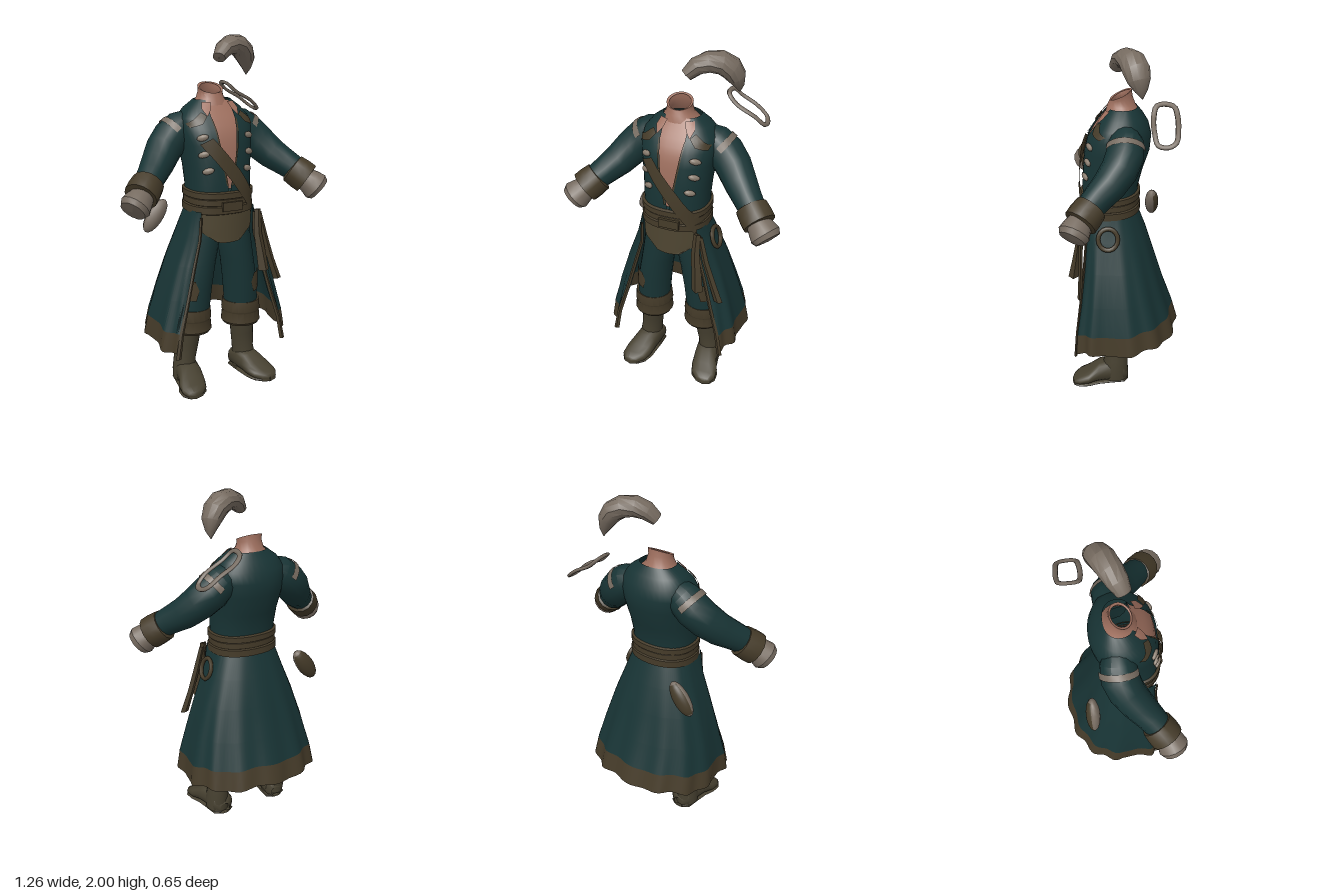
import * as THREE from 'three';
import { mergeVertices, toCreasedNormals } from 'three/addons/utils/BufferGeometryUtils.js';

const V = (x, y, z) => new THREE.Vector3(x, y, z);
const paint = (name, color) => {
  const m = new THREE.MeshStandardMaterial({ color, side: THREE.DoubleSide });
  m.name = name;
  return m;
};
const pw = (v, e) => Math.sign(v) * Math.abs(v) ** e;

// Skin a list of point rows with quads
function loft(rows, crease = 0.6) {
  const n = rows[0].length, idx = [];
  for (let i = 0; i < rows.length - 1; i++) {
    for (let j = 0; j < n - 1; j++) {
      const a = i * n + j, b = a + n;
      idx.push(a, a + 1, b, a + 1, b + 1, b);
    }
  }
  const g = new THREE.BufferGeometry().setFromPoints(rows.flat());
  g.setIndex(idx);
  return toCreasedNormals(mergeVertices(g), crease);
}

// Horizontal rounded section; angle 0 faces the front
function ring(cx, y, cz, rx, rz, { a0 = 0, a1 = Math.PI * 2, n = 20, e = 1, eb = (e + 1) / 2, rip = 0, lift = 0 } = {}) {
  return Array.from({ length: n + 1 }, (_, i) => {
    const a = a0 + (a1 - a0) * i / n, c = Math.cos(a), s = Math.sin(a);
    const k = 1 - rip * Math.cos(a * 13), ez = c > 0 ? e : eb;
    return V(cx + rx * k * pw(s, ez), y + lift * (1 - c) / 2 + rip * 0.25 * Math.sin(a * 7), cz + rz * k * pw(c, ez));
  });
}

// Sweep along points [x, y, z, radius]; wide stretches the section sideways
function limb(pts, { n = 14, a0 = 0, a1 = Math.PI * 2, wide = 1 } = {}) {
  const p = pts.map(q => V(q[0], q[1], q[2]));
  return loft(p.map((c, i) => {
    const t = p[Math.min(i + 1, p.length - 1)].clone().sub(p[Math.max(i - 1, 0)]).normalize();
    const u = t.clone().cross(V(0, 0, 1)).normalize(), v = u.clone().cross(t);
    return Array.from({ length: n + 1 }, (_, j) => {
      const a = a0 + (a1 - a0) * j / n;
      return c.clone().addScaledVector(u, Math.cos(a) * pts[i][3]).addScaledVector(v, Math.sin(a) * pts[i][3] * wide);
    });
  }));
}

// Jacket sections: height, half width, front z, back z, half gap
const TORSO = [
  [1.06, 0.185, 0.235, -0.07, 0], [1.2, 0.185, 0.24, -0.075, 0.008], [1.3, 0.19, 0.235, -0.1, 0.035],
  [1.42, 0.205, 0.225, -0.14, 0.05], [1.5, 0.215, 0.205, -0.147, 0.06], [1.56, 0.205, 0.165, -0.132, 0.07],
  [1.61, 0.165, 0.125, -0.102, 0.07], [1.655, 0.105, 0.09, -0.068, 0.07]];
const E = 0.8;
function torsoAt(y) {
  let i = 0;
  while (i < TORSO.length - 2 && TORSO[i + 1][0] < y) i++;
  const a = TORSO[i], b = TORSO[i + 1], t = THREE.MathUtils.clamp((y - a[0]) / (b[0] - a[0]), 0, 1);
  return a.map((v, k) => v + (b[k] - v) * t);
}
function torsoZ(x, y) {
  const [, rx, zf, zb] = torsoAt(y);
  const q = Math.min(1, Math.abs(x) / rx) ** (2 / E);
  return (zf + zb) / 2 + (zf - zb) / 2 * (1 - q) ** (E / 2);
}
// Thin panel on the chest; each edge point is [left x, left y, right x, right y]
function panel(edges, off, div = 6) {
  const rows = [];
  for (let i = 0; i < edges.length - 1; i++) {
    for (let k = i ? 1 : 0; k <= 4; k++) {
      const [lx, ly, rx, ry] = edges[i].map((v, m) => v + (edges[i + 1][m] - v) * k / 4);
      rows.push(Array.from({ length: div + 1 }, (_, j) => {
        const x = lx + (rx - lx) * j / div, y = ly + (ry - ly) * j / div;
        return V(x, y, torsoZ(x, y) + off);
      }));
    }
  }
  return loft(rows);
}
// Hanging strap through points [x, y, z, half width, half depth]
const strap = pts => loft(pts.map(([x, y, z, w, d]) => [V(x - w, y, z), V(x, y, z + d), V(x + w, y, z), V(x, y, z - d), V(x - w, y, z)]));

export function createModel() {
  const model = new THREE.Group();
  const teal = paint('teal cloth', 0x183435), olive = paint('olive trim', 0x453b29);
  const flapMat = paint('worn leather', 0x4e4531), boot = paint('boot leather', 0x464030);
  const skin = paint('skin', 0x9e6f5e), grey = paint('grey cloth', 0x766b60);
  const button = paint('pale buttons', 0x8a7d6f);
  const add = (name, geo, mat, parent = model) => {
    const m = new THREE.Mesh(geo, mat);
    m.name = name;
    parent.add(m);
    return m;
  };

  // Jacket body, open down the front, closed inside at the waist
  const gapRing = (y, rx, zf, zb, g, o) => {
    const a0 = Math.asin(Math.min(1, g / rx) ** (1 / o.e));
    return ring(0, y, (zf + zb) / 2, rx, (zf - zb) / 2, { ...o, a0, a1: Math.PI * 2 - a0 });
  };
  add('jacket', loft(TORSO.map(r => gapRing(...r, { n: 36, e: E }))), teal);
  add('lining', loft([ring(0, 1.12, 0.082, 0.18, 0.15), ring(0, 1.12, 0.082, 0.001, 0.001)]), teal);

  // Bare chest, neck and collar
  add('chest', panel([[-0.04, 1.18, 0.04, 1.18], [-0.07, 1.4, 0.07, 1.4], [-0.09, 1.56, 0.09, 1.56], [-0.08, 1.65, 0.08, 1.65]], -0.01), skin);
  add('neck', loft([ring(-0.01, 1.625, 0.012, 0.11, 0.095), ring(-0.012, 1.66, 0.018, 0.08, 0.078),
    ring(-0.012, 1.68, 0.022, 0.07, 0.064, { lift: 0.03 }), ring(-0.012, 1.69, 0.022, 0.074, 0.06, { lift: 0.055 }),
    ring(-0.012, 1.688, 0.022, 0.06, 0.05, { lift: 0.05 })]), skin);
  for (const s of [-1, 1]) {
    add('collarPoint', panel([[s * 0.05, 1.645, s * 0.095, 1.645], [s * 0.065, 1.605, s * 0.11, 1.61], [s * 0.09, 1.575, s * 0.095, 1.575]], 0.01), skin);
    add('lapelTrim', panel([[s * 0.095, 1.575, s * 0.12, 1.595], [s * 0.13, 1.535, s * 0.165, 1.56], [s * 0.19, 1.515, s * 0.2, 1.535]], 0.012), olive);
    add('frontEdge', panel([[s * 0.01, 1.2, s * 0.02, 1.2], [s * 0.05, 1.42, s * 0.06, 1.42], [s * 0.07, 1.56, s * 0.078, 1.56]], 0.006), olive);
    for (const [x, y] of [[0.14, 1.465], [0.138, 1.375], [0.12, 1.285]]) {
      const b = add('button', new THREE.SphereGeometry(1, 8, 6), button);
      b.scale.set(0.034, 0.018, 0.013);
      b.position.set(s * x, y, torsoZ(x, y) + 0.006);
      b.rotation.set(0, s * 0.5, s * -0.25);
    }
  }

  // Diagonal sash and waist belts
  add('sash', panel([[-0.16, 1.43, -0.095, 1.465], [0, 1.23, 0.06, 1.28], [0.12, 1.07, 0.18, 1.11], [0.145, 1.03, 0.185, 1.04]], 0.022), olive);
  [[1.045, 1.1, 0.013], [1.092, 1.14, 0.008], [1.13, 1.178, 0.013]].forEach(([y0, y1, o]) => {
    const at = (y, d) => ring(0, y - 0.01, 0.083, 0.185 + d, 0.158 + d, { n: 32, e: E, lift: 0.015 });
    add('waistBelt', loft([at(y0, -0.006), at(y0 + 0.008, o), at(y1 - 0.008, o), at(y1, -0.006)]), olive);
  });
  const buckle = add('buckle', new THREE.BoxGeometry(0.12, 0.05, 0.02), olive);
  buckle.position.set(0.01, 1.085, 0.252);

  // Leather front flap
  add('frontFlap', loft([[1.05, 0.165], [0.96, 0.16], [0.91, 0.15], [0.875, 0.07]].map(([y, w]) =>
    Array.from({ length: 9 }, (_, j) => {
      const x = w * (j / 4 - 1);
      return V(x, y + x * x * (y < 0.93 ? 1.2 : 0), 0.243 - x * x * 2);
    }))), flapMat);

  // Flared, pleated coat skirt with a separate hem
  const skirt = (y, rx, zf, zb, g, rip, lift) => gapRing(y, rx, zf, zb, g, { n: 78, e: 0.5, eb: 0.92, rip, lift });
  const hemTop = skirt(0.38, 0.385, 0.3, -0.28, 0.3, 0.024, 0.055);
  add('coatSkirt', loft([skirt(1.06, 0.19, 0.24, -0.07, 0.16, 0, 0), skirt(0.92, 0.23, 0.225, -0.12, 0.16, 0.004, 0.01),
    skirt(0.75, 0.29, 0.24, -0.17, 0.2, 0.01, 0.02), skirt(0.56, 0.345, 0.265, -0.225, 0.25, 0.017, 0.03), hemTop]), teal);
  add('coatHem', loft([hemTop, skirt(0.265, 0.4, 0.31, -0.31, 0.32, 0.032, 0.055)]), olive);
  for (const s of [-1, 1]) {
    add('skirtEdge', strap([[0.165, 1.03, 0.22, 0.008, 0.006], [0.172, 0.9, 0.218, 0.01, 0.006], [0.213, 0.75, 0.23, 0.011, 0.007],
      [0.262, 0.56, 0.25, 0.012, 0.007], [0.312, 0.385, 0.27, 0.014, 0.008], [0.335, 0.25, 0.28, 0.016, 0.008]]), olive).scale.x = s;
  }

  // Arms and legs, mirrored
  for (const s of [1, -1]) {
    const side = s > 0 ? 'left' : 'right';
    const arm = new THREE.Group(), leg = new THREE.Group();
    arm.name = side + 'Arm';
    leg.name = side + 'Leg';
    arm.scale.x = leg.scale.x = s;
    model.add(arm, leg);

    add('sleeve', limb([[0.12, 1.53, 0, 0.075], [0.18, 1.5, -0.008, 0.097], [0.24, 1.45, -0.005, 0.104], [0.3, 1.39, 0.025, 0.1],
      [0.36, 1.325, 0.08, 0.091], [0.42, 1.275, 0.14, 0.08], [0.48, 1.225, 0.195, 0.072]]), teal, arm);
    add('shoulderStripe', limb([[0.2, 1.483, -0.007, 0.105], [0.228, 1.46, -0.006, 0.108]], { n: 10, a0: 1.9, a1: 4.6 }), grey, arm);
    add('sleeveCuff', limb([[0.445, 1.25, 0.16, 0.06], [0.45, 1.243, 0.167, 0.088], [0.485, 1.213, 0.196, 0.093],
      [0.515, 1.187, 0.22, 0.092], [0.517, 1.185, 0.222, 0.06]]), olive, arm);
    add('shirtCuff', limb([[0.49, 1.2, 0.21, 0.06], [0.53, 1.168, 0.235, 0.076], [0.557, 1.143, 0.25, 0.085],
      [0.576, 1.125, 0.26, 0.071], [0.58, 1.12, 0.264, 0.001]]), grey, arm);

    const pants = [[1.06, 0.085, 0.085, 0.1, 0.12], [0.9, 0.095, 0.09, 0.1, 0.12], [0.75, 0.122, 0.095, 0.095, 0.112],
      [0.6, 0.146, 0.09, 0.1, 0.108], [0.44, 0.16, 0.085, 0.1, 0.1]];
    add('trouserLeg', loft(pants.map(([y, ...r]) => ring(r[0], y, r[1], r[2], r[3]))), teal, leg);
    add('kneePatch', loft([[0.655, 0.3], [0.6, 0.1], [0.54, 0.25]].map(([y, a]) =>
      ring(0.147, y, 0.09, 0.106, 0.113, { a0: 0.1 + a, a1: 1.6 - a, n: 8 }))), olive, leg);
    add('trouserCuff', loft([[0.475, 0.085], [0.47, 0.11], [0.41, 0.116], [0.4, 0.111], [0.34, 0.117], [0.325, 0.108], [0.33, 0.08]].map(([y, r]) =>
      ring(0.162, y, 0.08, r, r))), olive, leg);

    // Boot shaft, foot and sole
    add('bootShaft', loft([[0.38, 0.172, 0.075, 0.07, 0.088], [0.25, 0.183, 0.06, 0.066, 0.08], [0.15, 0.194, 0.05, 0.064, 0.07],
      [0.09, 0.2, 0.056, 0.067, 0.077], [0.02, 0.2, 0.055, 0.066, 0.075]].map(([y, cx, cz, rx, rz]) => ring(cx, y, cz, rx, rz))), boot, leg);
    const foot = (h, w, x, z, y0) => Array.from({ length: 15 }, (_, j) => {
      const a = j / 14 * Math.PI * 2;
      return V(x + w * pw(Math.cos(a), 0.75), y0 + h / 2 + h / 2 * pw(Math.sin(a), 0.75), z);
    });
    const steps = [[0.06, 0.03, 0.185, -0.022], [0.11, 0.065, 0.187, 0], [0.13, 0.07, 0.195, 0.08], [0.115, 0.073, 0.205, 0.15],
      [0.075, 0.082, 0.22, 0.21], [0.055, 0.075, 0.232, 0.265], [0.035, 0.045, 0.24, 0.3], [0.02, 0.001, 0.242, 0.31]];
    add('bootFoot', loft(steps.map(([h, w, x, z]) => foot(h, w, x, z, 0.008)), 1), boot, leg);
    add('bootSole', loft(steps.map(([, w, x, z]) => foot(0.022, w * 1.02, x, z, 0))), boot, leg);
  }

  // Straps hanging at the left hip, and a looped cord
  add('hangingStrap', strap([[0.175, 1.05, 0.245, 0.02, 0.01], [0.17, 0.92, 0.26, 0.025, 0.012], [0.185, 0.8, 0.275, 0.03, 0.022], [0.195, 0.7, 0.29, 0.034, 0.03]]), olive);
  add('longStrap', strap([[0.19, 1.03, 0.235, 0.015, 0.01], [0.225, 0.88, 0.245, 0.02, 0.012], [0.265, 0.75, 0.245, 0.022, 0.012], [0.31, 0.62, 0.25, 0.026, 0.012]]), olive);
  const loop = add('hipLoop', new THREE.TorusGeometry(0.055, 0.012, 6, 18), olive);
  loop.position.set(0.235, 0.955, 0.09);
  loop.rotation.set(0, Math.PI / 2, 0.3, 'ZYX');
  loop.scale.y = 1.1;

  // Slanted pouch behind the right hip, dark on its back with a pale rim
  const pouch = new THREE.Group();
  pouch.name = 'pouch';
  pouch.position.set(-0.28, 0.967, -0.16);
  pouch.rotation.z = -0.62;
  model.add(pouch);
  add('pouchBody', new THREE.SphereGeometry(1, 12, 9), grey, pouch).scale.set(0.05, 0.112, 0.04);
  add('pouchBack', new THREE.SphereGeometry(1, 12, 8, Math.PI * 1.1, Math.PI * 0.8, 0.55, 2.04), olive, pouch).scale.set(0.051, 0.113, 0.043);

  // Floating curved cap and flattened ring
  add('curvedCap', limb([[0.03, 1.875, 0.048, 0.003], [0.032, 1.878, 0.045, 0.034], [0.075, 1.922, 0.018, 0.048], [0.13, 1.944, -0.01, 0.055],
    [0.19, 1.94, -0.04, 0.06], [0.238, 1.908, -0.062, 0.06], [0.266, 1.86, -0.076, 0.05], [0.278, 1.81, -0.088, 0.027], [0.28, 1.77, -0.095, 0.002]],
  { n: 12, wide: 1.2 }), grey);
  const outline = [[-0.125, 0.045], [-0.06, 0.062], [0.06, 0.058], [0.125, 0.04], [0.135, -0.01], [0.11, -0.05],
    [0.03, -0.062], [-0.07, -0.06], [-0.12, -0.045], [-0.135, 0]].map(([a, b]) => V(a, 0.012 * Math.sin(a * 25), b));
  const band = add('floatingRing', new THREE.TubeGeometry(new THREE.CatmullRomCurve3(outline, true), 40, 0.015, 6, true), grey);
  band.position.set(0.3, 1.638, -0.215);
  band.rotation.z = -0.64;
  band.scale.y = 0.65;

  return model;
}
